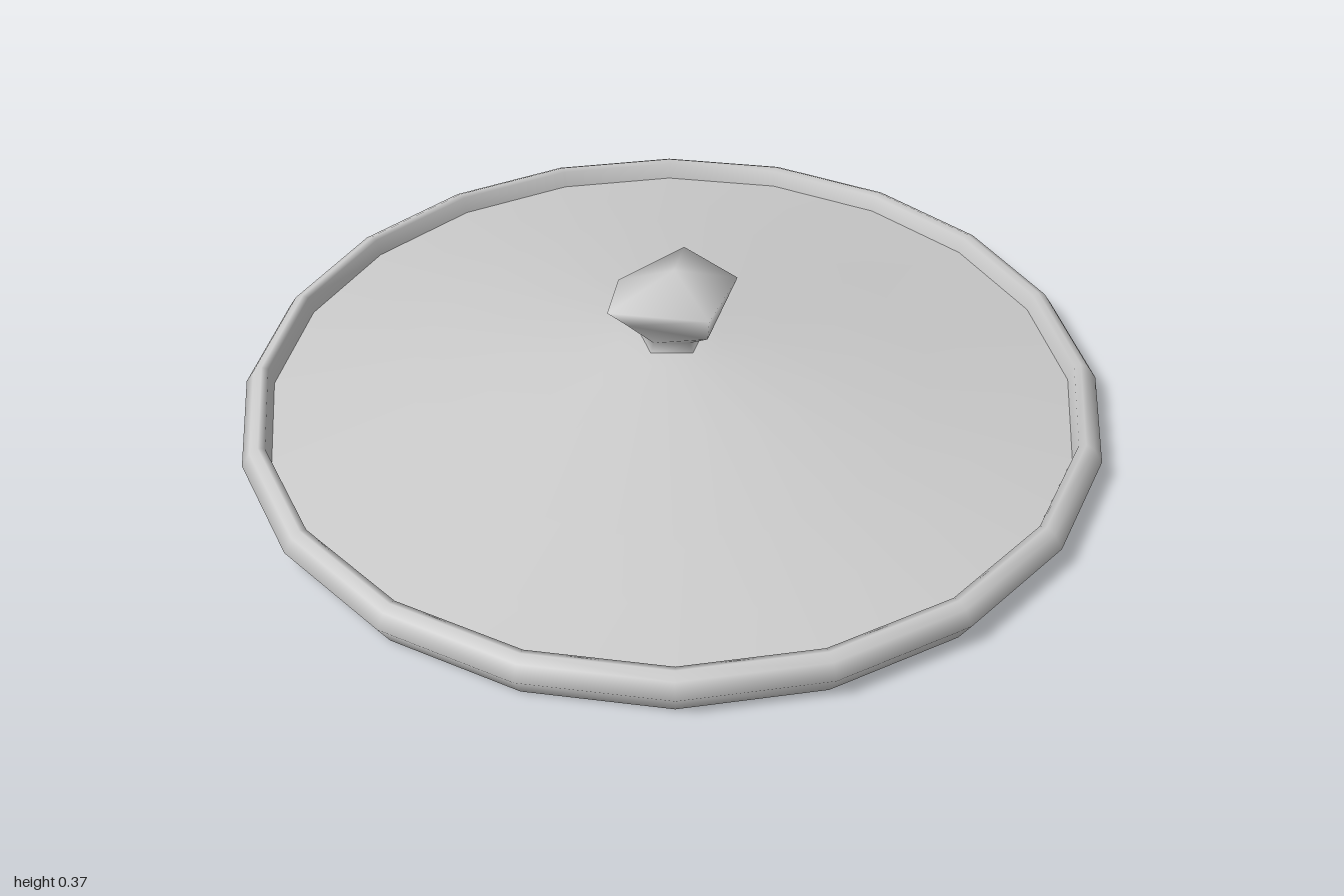
import * as THREE from 'three';

const SIDES = 20;

function lathe(name, profile, material) {
  const points = profile.map(([r, y]) => new THREE.Vector2(r, y));
  const mesh = new THREE.Mesh(new THREE.LatheGeometry(points, SIDES), material);
  mesh.name = name;
  return mesh;
}

// Skin equal-sized rings of [x, y, z] corners, listed bottom to top, and close with a peak.
function skinRings(rings, peak) {
  const n = rings[0].length;
  const positions = [...rings.flat(), peak].flat();
  const top = rings.length * n;
  const index = [];
  for (let r = 0; r < rings.length; r++) {
    for (let i = 0; i < n; i++) {
      const a = r * n + i;
      const b = r * n + (i + 1) % n;
      if (r === rings.length - 1) index.push(a, b, top);
      else index.push(a, b, b + n, a, b + n, a + n);
    }
  }
  const geometry = new THREE.BufferGeometry();
  geometry.setAttribute('position', new THREE.Float32BufferAttribute(positions, 3));
  geometry.setIndex(index);
  geometry.computeVertexNormals();
  return geometry;
}

export function createModel() {
  const model = new THREE.Group();
  model.name = 'lid';
  const material = new THREE.MeshStandardMaterial({ color: 0xcccccc, side: THREE.DoubleSide });

  // Rolled rim running smoothly into the hollow underside
  model.add(lathe('rimAndUnderside', [
    [0, 0.15], [0.88, 0.03], [0.95, 0.005], [0.965, 0.01], [0.995, 0.065],
    [0.975, 0.095], [0.955, 0.105], [0.94, 0.1], [0.93, 0.055],
  ], material));

  // Shallow cone set inside the rim
  model.add(lathe('dome', [[0.935, 0.058], [0.6, 0.11], [0.12, 0.19], [0, 0.193]], material));

  // Faceted five-sided knob on a narrow neck
  const neck = (radius, y) => Array.from({ length: 5 }, (_, i) => {
    const a = i * Math.PI * 2 / 5;
    return [radius * Math.cos(a), y, -radius * Math.sin(a)];
  });
  const knob = new THREE.Mesh(skinRings([
    neck(0.085, 0.185),
    neck(0.07, 0.212),
    [[0.135, 0.26, 0], [0.035, 0.262, -0.1], [-0.085, 0.255, -0.08], [-0.145, 0.262, 0.05], [-0.01, 0.262, 0.115]],
    [[0.14, 0.31, 0], [0.05, 0.32, -0.15], [-0.1, 0.34, -0.11], [-0.14, 0.29, 0.05], [-0.01, 0.32, 0.17]],
  ], [0.01, 0.378, 0]), material);
  knob.name = 'knob';
  model.add(knob);

  return model;
}
